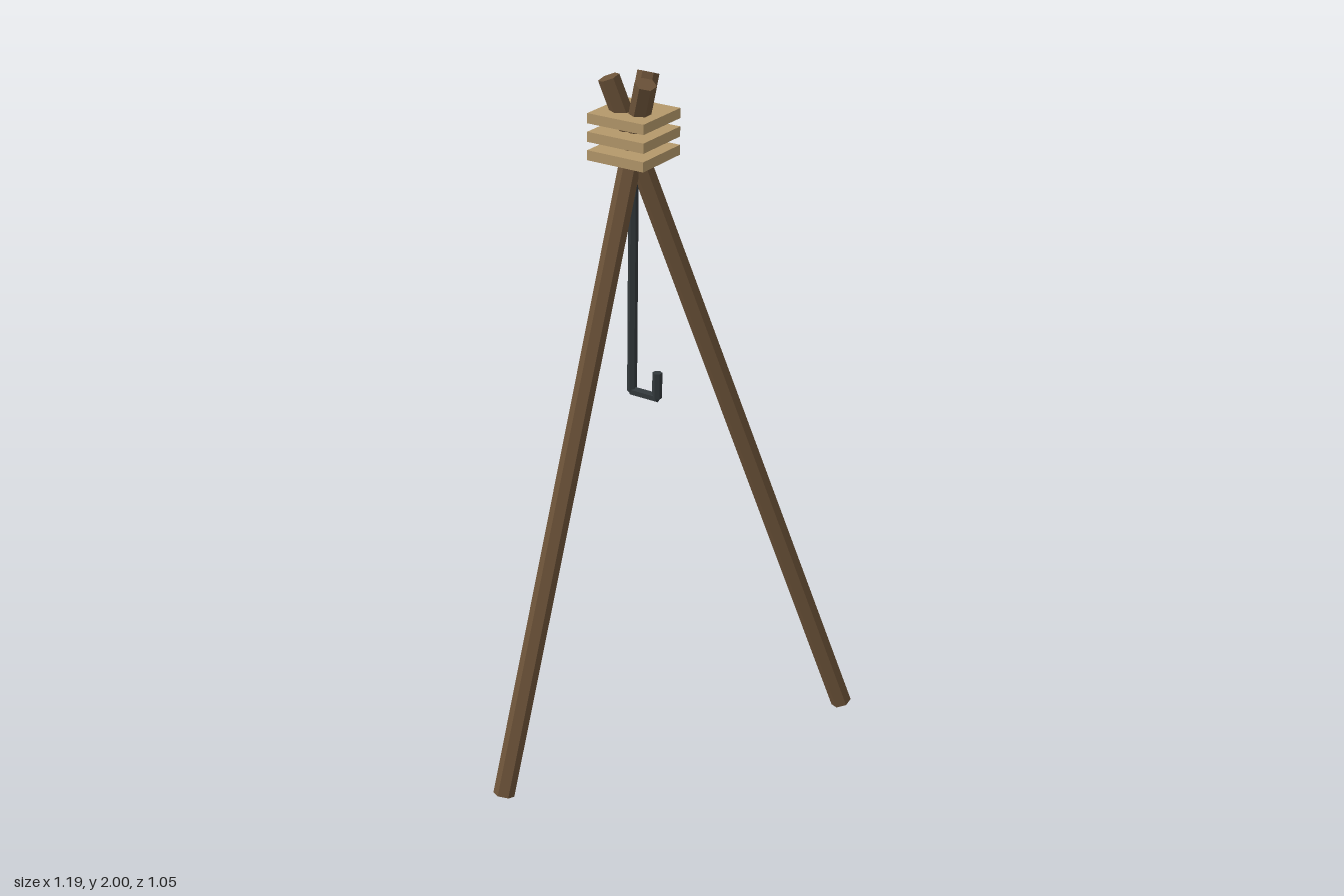
import * as THREE from 'three';

const AXIS_Z = -0.164; // vertical line on which the poles cross

export function createModel() {
  const model = new THREE.Group();
  const material = (color) => new THREE.MeshStandardMaterial({ color, flatShading: true });
  const wood = material(0x6b5238);
  const rope = material(0xb4986a);
  const iron = material(0x32383b);

  const add = (name, geometry, mat, parent = model) => {
    const mesh = new THREE.Mesh(geometry, mat);
    mesh.name = name;
    parent.add(mesh);
    return mesh;
  };

  // Three hexagonal poles, leaning through the axis and spread 120 degrees apart
  const foot = new THREE.Vector3(0, 0.011, 0.657);
  const tip = new THREE.Vector3(0, 1.989, -0.07);
  const length = foot.distanceTo(tip);
  const lean = Math.atan2(tip.z - foot.z, tip.y - foot.y);
  ['frontPole', 'backLeftPole', 'backRightPole'].forEach((name, i) => {
    const pole = new THREE.CylinderGeometry(0.031, 0.031, length, 6);
    pole.rotateX(lean);
    pole.translate(0, (foot.y + tip.y) / 2, (foot.z + tip.z) / 2);
    pole.rotateY((i * Math.PI * 2) / 3);
    add(name, pole, wood).position.z = AXIS_Z;
  });

  // Square lashings stacked around the crossing
  for (let i = 0; i < 3; i++) {
    add(`lashing${i + 1}`, new THREE.BoxGeometry(0.185, 0.029, 0.185), rope)
      .position.set(0, 1.776 + i * 0.053, AXIS_Z);
  }

  // Hanging hook: long rod, cross bar and upturned end
  const hook = new THREE.Group();
  hook.name = 'hook';
  hook.position.z = AXIS_Z;
  model.add(hook);
  const bar = (len) => new THREE.CylinderGeometry(0.0145, 0.0145, len, 6);
  add('hookRod', bar(0.75), iron, hook).position.set(0, 1.425, 0);
  add('hookBar', bar(0.09).rotateY(Math.PI / 6).rotateZ(Math.PI / 2), iron, hook)
    .position.set(0.045, 1.051, 0);
  add('hookEnd', bar(0.08), iron, hook).position.set(0.087, 1.09, 0);

  return model;
}
